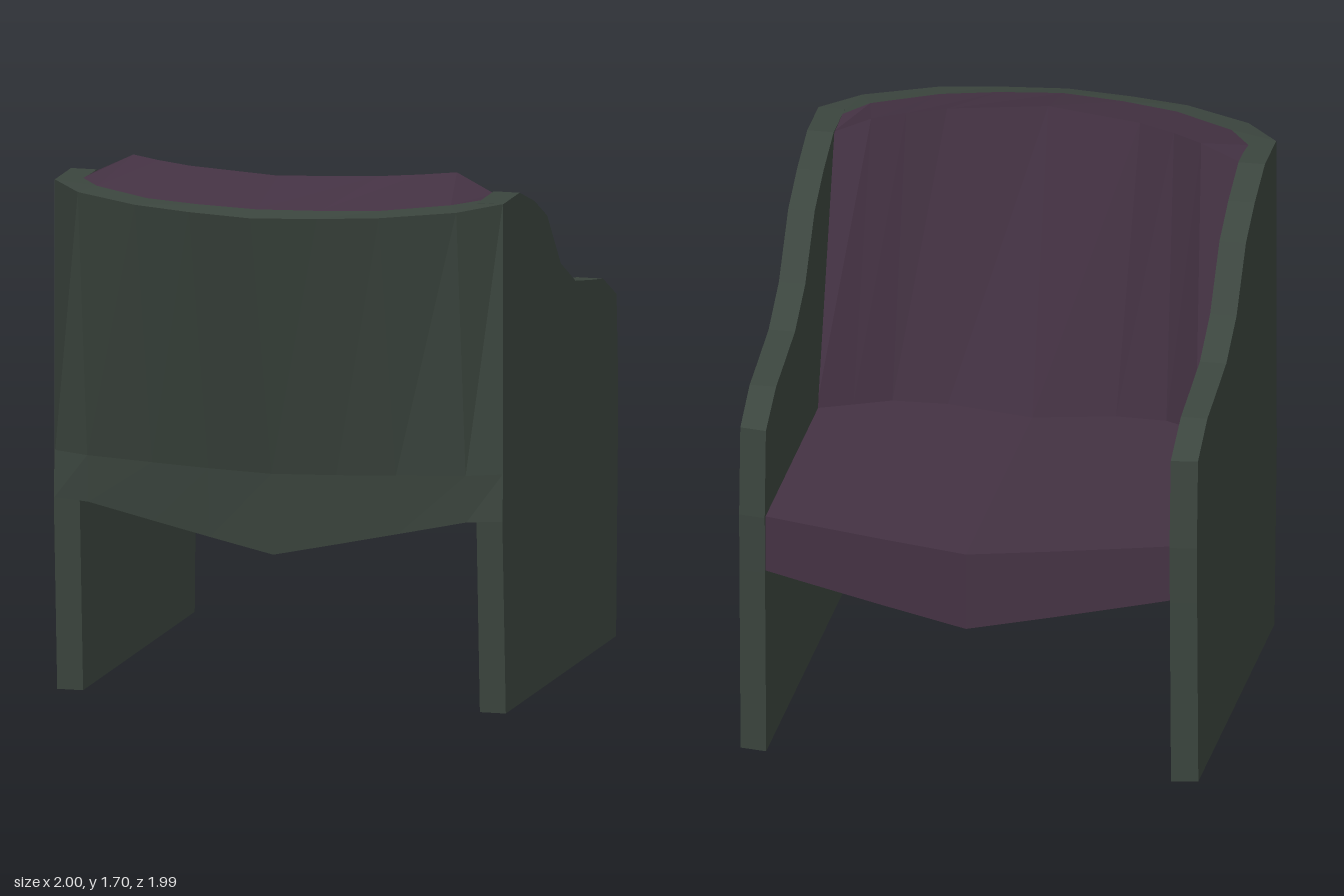
import * as THREE from 'three';

const green = new THREE.MeshStandardMaterial({ color: 0x3b453e, flatShading: true, side: THREE.DoubleSide });
green.name = 'darkGreen';
const purple = new THREE.MeshStandardMaterial({ color: 0x443243, flatShading: true, side: THREE.DoubleSide });
purple.name = 'darkPurple';

// Each cross-section lists [x, y, z] from the centre line outwards; the other half is mirrored.
const mirrorRow = half => [
  ...half.slice(1).reverse().map(([x, y, z]) => [-x, y, z]),
  ...half,
];

// Surface joining consecutive rows of equal length.
function loft(name, rows, material) {
  const full = rows.map(mirrorRow);
  const n = full[0].length;
  const index = [];
  for (let r = 0; r < full.length - 1; r++) {
    for (let i = 0; i < n - 1; i++) {
      const a = r * n + i, b = a + n;
      index.push(a, a + 1, b + 1, a, b + 1, b);
    }
  }
  const geo = new THREE.BufferGeometry();
  geo.setAttribute('position', new THREE.Float32BufferAttribute(full.flat(2), 3));
  geo.setIndex(index);
  const flat = geo.toNonIndexed();
  flat.computeVertexNormals();
  const mesh = new THREE.Mesh(flat, material);
  mesh.name = name;
  return mesh;
}

// Side panel serving as leg and armrest, with its stepped top.
function sidePanel(name, outerX) {
  const outline = [
    [-0.62, 0], [0.67, 0], [0.69, 0.62], [0.695, 0.81], [0.675, 1.1],
    [0.517, 1.18], [0.394, 1.2], [0.196, 1.235], [0.023, 1.325],
    [-0.137, 1.51], [-0.285, 1.585], [-0.458, 1.645], [-0.65, 1.645],
    [-0.65, 0.78], [-0.66, 0.625],
  ].map(p => new THREE.Vector2(...p));
  const geo = new THREE.ExtrudeGeometry(new THREE.Shape(outline), { depth: 0.085, bevelEnabled: false });
  geo.rotateY(-Math.PI / 2);
  geo.translate(outerX, 0, 0);
  // The inner front edge leans slightly forward.
  const p = geo.attributes.position;
  for (let i = 0; i < p.count; i++) {
    if (p.getZ(i) > 0.6 && Math.abs(p.getX(i)) < 0.69) p.setZ(i, p.getZ(i) + 0.015);
  }
  geo.computeVertexNormals();
  const mesh = new THREE.Mesh(geo, green);
  mesh.name = name;
  return mesh;
}

export function createModel() {
  const model = new THREE.Group();
  model.name = 'armchair';
  const chair = new THREE.Group();
  chair.name = 'chairBody';
  chair.rotation.y = Math.PI * 0.7;
  model.add(chair);

  const seatTop = x => 0.745 + 0.1 * x;
  const seatBottom = x => 0.49 + 0.207 * x;
  const row = (pts, y) => pts.map(([x, z]) => [x, y(x), z]);

  // Cross-sections around the body
  const front = [[0, 0.73], [0.27, 0.72], [0.44, 0.71], [0.55, 0.703], [0.655, 0.695]];
  const frontBottom = row(front, seatBottom);
  const frontTop = row(front, seatTop);
  const seatBack = row([[0, -0.394], [0.27, -0.39], [0.44, -0.345], [0.55, -0.265], [0.655, -0.19]], seatTop);
  const cushionEdge = [[0, 1.7, -0.664], [0.31, 1.7, -0.585], [0.43, 1.7, -0.525], [0.53, 1.7, -0.46], [0.655, 1.64, -0.47]];
  const rimInner = [[0, 1.64, -0.915], [0.2, 1.64, -0.885], [0.38, 1.64, -0.835], [0.58, 1.645, -0.71], [0.655, 1.645, -0.6]];
  const rimOuter = [[0, 1.625, -0.988], [0.21, 1.628, -0.957], [0.4, 1.632, -0.91], [0.62, 1.638, -0.79], [0.733, 1.645, -0.65]];
  const shellBase = [[0, 0.755, -0.74], [0.21, 0.76, -0.73], [0.4, 0.765, -0.71], [0.62, 0.77, -0.68], [0.733, 0.775, -0.65]];
  const backBottom = row([[0, -0.716], [0.21, -0.705], [0.4, -0.69], [0.62, -0.67], [0.733, -0.66]],
    x => Math.min(seatBottom(x), 0.625));

  chair.add(
    loft('seatCushion', [frontBottom, frontTop, seatBack], purple),
    loft('backCushion', [seatBack, cushionEdge, rimInner], purple),
    loft('backRim', [rimInner, rimOuter], green),
    loft('backShell', [rimOuter, shellBase, backBottom], green),
    loft('seatUnderside', [backBottom, frontBottom], green),
    sidePanel('leftSidePanel', 0.735),
    sidePanel('rightSidePanel', -0.65),
  );
  return model;
}
